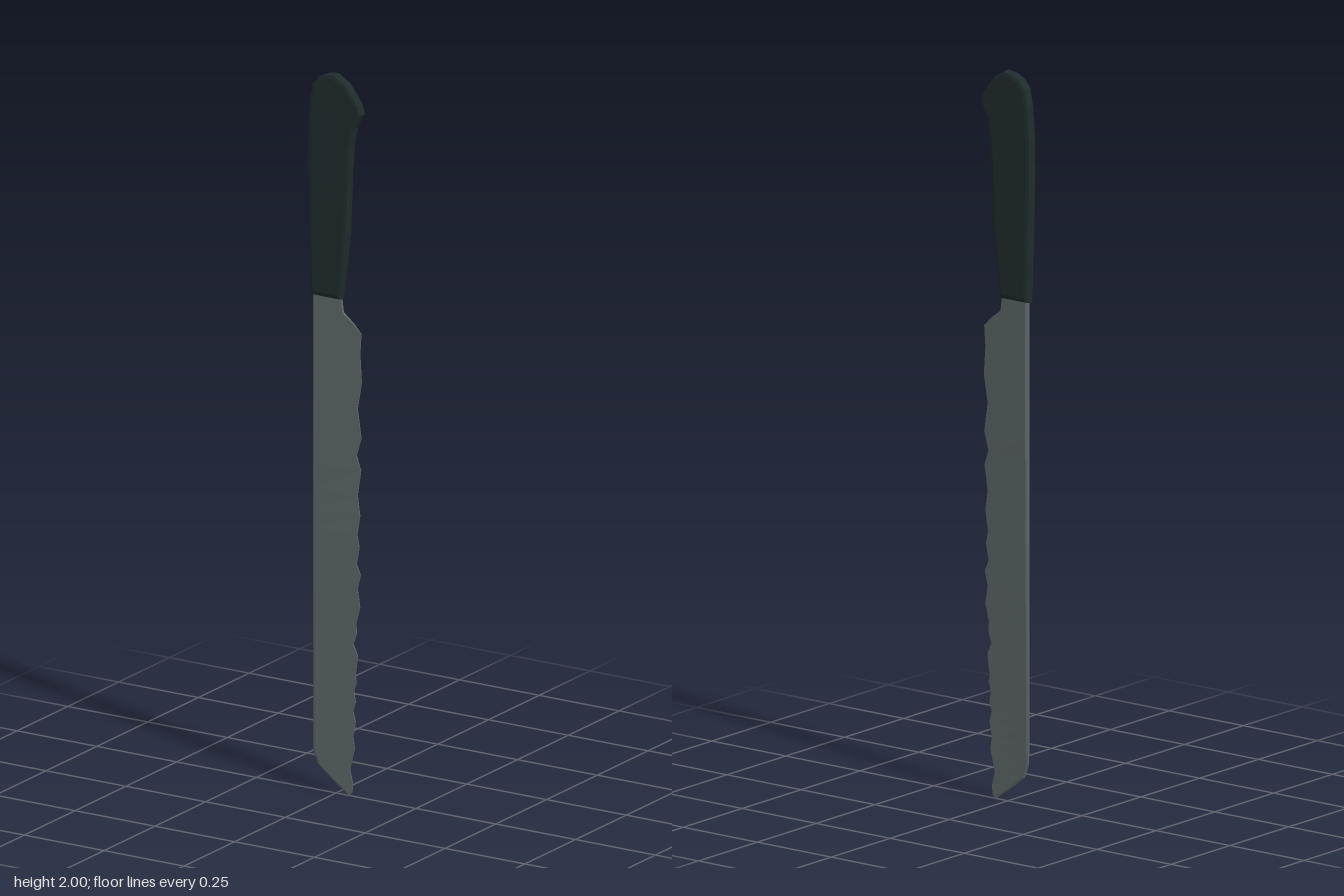
import * as THREE from 'three';

const steel = new THREE.MeshStandardMaterial({ color: 0x5f6969 });
steel.name = 'blade steel';
steel.flatShading = true;
const grip = new THREE.MeshStandardMaterial({ color: 0x202c2c });
grip.name = 'dark grip';
grip.flatShading = true;

// Handle: bevelled plate with a hooked pommel
function makeHandle() {
  const outline = [
    [-0.077, 1.377], [0.018, 1.377], [0.03, 1.46], [0.041, 1.56], [0.047, 1.71],
    [0.053, 1.81], [0.063, 1.86], [0.084, 1.9], [0.077, 1.925], [0.06, 1.95],
    [0.038, 1.978], [0.002, 2.0], [-0.025, 1.997], [-0.05, 1.985], [-0.07, 1.96],
    [-0.08, 1.91], [-0.086, 1.82], [-0.087, 1.72], [-0.083, 1.56],
  ];
  const shape = new THREE.Shape(outline.map(([x, y]) => new THREE.Vector2(x, y)));
  const geometry = new THREE.ExtrudeGeometry(shape, {
    depth: 0.015, bevelEnabled: true, bevelThickness: 0.008,
    bevelSize: 0.012, bevelOffset: -0.012, bevelSegments: 2,
  });
  geometry.translate(0, 0, -0.009);
  const mesh = new THREE.Mesh(geometry, grip);
  mesh.name = 'handle';
  return mesh;
}

// Blade: wedge cross-sections stacked down the wavy cutting edge
function makeBlade() {
  const edge = [
    [0.012, 1.4], [0.018, 1.37], [0.022, 1.34], [0.055, 1.315], [0.079, 1.29],
    [0.075, 1.235], [0.08, 1.155], [0.067, 1.08], [0.079, 1.0], [0.064, 0.95],
    [0.078, 0.91], [0.067, 0.84], [0.075, 0.785], [0.066, 0.73], [0.073, 0.695],
    [0.064, 0.65], [0.077, 0.62], [0.067, 0.58], [0.075, 0.53], [0.063, 0.485],
    [0.064, 0.455], [0.054, 0.425], [0.068, 0.395], [0.06, 0.335], [0.064, 0.32],
    [0.056, 0.295], [0.061, 0.265], [0.053, 0.24], [0.061, 0.21], [0.053, 0.17],
    [0.058, 0.135], [0.052, 0.113], [0.043, 0.075], [0.053, 0.035], [0.05, 0.012], [0.042, 0.003],
  ];
  const tip = [[0.003, 0.038], [0.012, 0.028], [0.07, -0.055], [0.113, -0.071]];
  const spineX = (y) => {
    if (y >= 0.113) return -0.071;
    for (let i = 1; i < tip.length; i++) {
      const [y0, x0] = tip[i - 1], [y1, x1] = tip[i];
      if (y <= y1) return x0 + (x1 - x0) * (y - y0) / (y1 - y0);
    }
  };
  const positions = [], index = [];
  for (const [x, y] of edge) {
    const s = spineX(y);
    const shoulder = s + Math.min(0.006, (x - s) * 0.3);
    const h = 0.003 + 0.0055 * Math.min(1, y / 1.0);
    const z = (px) => 0.001 + (h - 0.001) * (0.085 - px) / 0.156;
    positions.push(
      s, y, z(s) * 0.4, shoulder, y, z(shoulder), x, y, z(x),
      x, y, -z(x), shoulder, y, -z(shoulder), s, y, -z(s) * 0.4,
    );
  }
  const n = 6;
  for (let r = 0; r < edge.length - 1; r++) {
    for (let k = 0; k < n; k++) {
      const a = r * n + k, b = r * n + (k + 1) % n;
      index.push(a, a + n, b, b, a + n, b + n);
    }
  }
  const last = (edge.length - 1) * n;
  for (let k = 1; k < n - 1; k++) {
    index.push(0, k, k + 1, last, last + k + 1, last + k);
  }
  let geometry = new THREE.BufferGeometry();
  geometry.setAttribute('position', new THREE.Float32BufferAttribute(positions, 3));
  geometry.setIndex(index);
  geometry = geometry.toNonIndexed();
  geometry.computeVertexNormals();
  const mesh = new THREE.Mesh(geometry, steel);
  mesh.name = 'serratedBlade';
  return mesh;
}

export function createModel() {
  const model = new THREE.Group();
  model.name = 'breadKnife';
  model.add(makeHandle(), makeBlade());
  return model;
}
